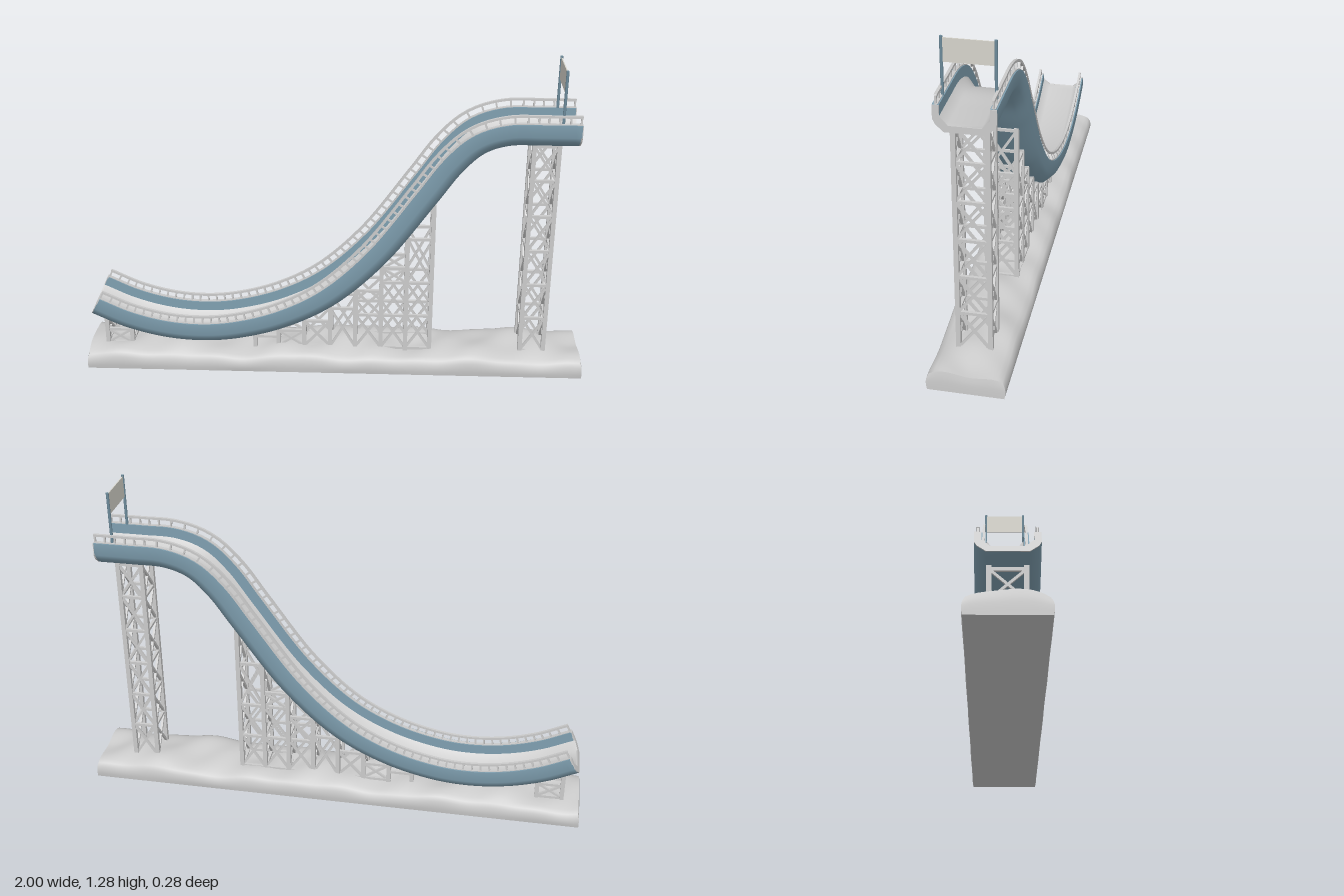
import * as THREE from 'three';
import { mergeGeometries, mergeVertices, toCreasedNormals } from 'three/addons/utils/BufferGeometryUtils.js';

const grey = new THREE.MeshStandardMaterial({ color: 0xcccccc });
const blue = new THREE.MeshStandardMaterial({ color: 0x7f9fb0 });
const steel = new THREE.MeshStandardMaterial({ color: 0x6d8b9b });
const cloth = new THREE.MeshStandardMaterial({ color: 0xd6d4cb, side: THREE.DoubleSide });
const V = (x, y, z = 0) => new THREE.Vector3(x, y, z);

// Underside line of the chute, from the run-out to the start platform
const path = new THREE.CatmullRomCurve3([
  [-0.98, 0.217], [-0.85, 0.157], [-0.7, 0.115], [-0.55, 0.1], [-0.4, 0.112], [-0.2, 0.168],
  [0, 0.276], [0.2, 0.465], [0.4, 0.74], [0.49, 0.868], [0.57, 0.945], [0.66, 0.977], [0.78, 0.98], [0.92, 0.98],
].map(([x, y]) => V(x, y)), false, 'centripetal');

// Position and upward normal at fraction u of the path
function frame(u) {
  const p = path.getPointAt(u), t = path.getTangentAt(u);
  return { p, t, n: V(-t.y, t.x) };
}
const STEPS = 110;
const frames = Array.from({ length: STEPS + 1 }, (_, i) => frame(i / STEPS));
const place = (f, z, h) => f.p.clone().addScaledVector(f.n, h).setZ(z);

// Height of the chute's underside above the ground at x
function undersideAt(x) {
  for (let i = 0; i < STEPS; i++) {
    const a = frames[i].p, b = frames[i + 1].p;
    if (x <= b.x) return THREE.MathUtils.mapLinear(x, a.x, b.x, a.y, b.y);
  }
  return frames[STEPS].p.y;
}

// Sweep a (z, height) profile along the path
function sweep(profile, crease = 0.5) {
  const pos = [], index = [], m = profile.length;
  for (const f of frames) for (const [z, h] of profile) pos.push(...place(f, z, h).toArray());
  for (let i = 0; i < STEPS; i++) for (let j = 0; j < m - 1; j++) {
    const a = i * m + j, b = a + m;
    index.push(a, b, a + 1, b, b + 1, a + 1);
  }
  const g = new THREE.BufferGeometry();
  g.setAttribute('position', new THREE.Float32BufferAttribute(pos, 3));
  g.setIndex(index);
  return toCreasedNormals(g, crease);
}

// Square beam between two points
function beam(a, b, w) {
  const d = b.clone().sub(a), g = new THREE.BoxGeometry(w, d.length(), w);
  g.applyQuaternion(new THREE.Quaternion().setFromUnitVectors(V(0, 1), d.clone().normalize()));
  const c = a.clone().add(b).multiplyScalar(0.5);
  return g.translate(c.x, c.y, c.z);
}

function add(group, name, geometry, material) {
  const mesh = new THREE.Mesh(geometry, material);
  mesh.name = name;
  group.add(mesh);
  return mesh;
}

// Storey heights of a trestle that ends at height top
function storeys(top) {
  const list = [];
  for (let y = 0.08; y < top - 0.05; y += 0.15) list.push(y);
  return [...list, top];
}

// Trestle of paired posts at each x, braced across and along
function trestle(xs, topAt) {
  const Z = 0.058, parts = [];
  const brace = (xa, za, xb, zb, levels) => levels.forEach((y, i) => {
    parts.push(beam(V(xa, y, za), V(xb, y, zb), 0.011));
    if (i === 0) return;
    const y0 = levels[i - 1];
    parts.push(beam(V(xa, y0, za), V(xb, y, zb), 0.009), beam(V(xa, y, za), V(xb, y0, zb), 0.009));
  });
  xs.forEach((x, i) => {
    const top = topAt(x);
    for (const z of [-Z, Z]) {
      parts.push(beam(V(x, 0.04, z), V(x, top + 0.004, z), 0.017));
      if (i > 0) brace(xs[i - 1], z, x, z, storeys(Math.min(top, topAt(xs[i - 1])) - 0.008));
    }
    brace(x, -Z, x, Z, storeys(top - 0.008));
  });
  return mergeGeometries(parts);
}

// Snowy ground slab with an uneven top and wavy rim
function groundGeometry() {
  let g = new THREE.BoxGeometry(2, 1, 0.28, 90, 4, 14);
  g.deleteAttribute('normal');
  g.deleteAttribute('uv');
  g = mergeVertices(g);
  const p = g.attributes.position;
  for (let i = 0; i < p.count; i++) {
    const x = p.getX(i), z = p.getZ(i), v = p.getY(i) + 0.5;
    const r = Math.abs(z) / 0.14;
    const bumps = 0.009 * Math.sin(9.5 * x + 1.5 + 9 * z) + 0.007 * Math.sin(17 * x - 14 * z) + 0.004 * Math.sin(31 * x + 25 * z);
    const top = 0.064 + 0.022 * (1 - r ** 4) + bumps * (1 - 0.35 * r);
    const bulge = 0.96 + 0.03 * Math.sin(Math.PI * v) + 0.012 * Math.sin(13 * x) * v - 0.05 * v ** 4;
    p.setXYZ(i, x * (1 - 0.006 * v ** 4), v * top, z * bulge * 1.02);
  }
  return toCreasedNormals(g, 0.9);
}

export function createModel() {
  const model = new THREE.Group();
  model.name = 'skiJump';
  add(model, 'snowyGround', groundGeometry(), grey);

  // Chute: blue shell and walls, pale running surface
  const chute = new THREE.Group();
  chute.name = 'chute';
  model.add(chute);
  const outer = [[-0.105, 0.094], [-0.105, 0.045], [-0.096, 0.026], [-0.068, 0], [0.068, 0], [0.096, 0.026], [0.105, 0.045], [0.105, 0.094]];
  const inner = [[0.082, 0.055], [0.055, 0.024], [-0.055, 0.024], [-0.082, 0.055]];
  add(chute, 'outerShell', sweep(outer, 0.85), blue);
  add(chute, 'leftWall', sweep([[0.105, 0.094], [0.082, 0.094], [0.082, 0.055]]), blue);
  add(chute, 'rightWall', sweep([[-0.082, 0.055], [-0.082, 0.094], [-0.105, 0.094]]), blue);
  add(chute, 'runningSurface', sweep(inner, 0.9), grey);

  // Plates closing both ends of the chute
  const section = new THREE.Shape([...outer, [0.082, 0.094], ...inner, [-0.082, 0.094]].map(([z, h]) => new THREE.Vector2(z, h)));
  for (const [name, f] of [['lowerEndPlate', frames[0]], ['upperEndPlate', frames[STEPS]]]) {
    const plate = new THREE.ExtrudeGeometry(section, { depth: 0.006, bevelEnabled: false }).translate(0, 0, -0.003);
    const basis = new THREE.Matrix4().makeBasis(V(0, 0, 1), f.n, f.t.clone().negate()).setPosition(f.p);
    add(chute, name, plate.applyMatrix4(basis), grey);
  }

  // Guard rails with closely spaced posts on both walls
  const POSTS = 58;
  for (const [name, z] of [['leftGuardRail', 0.093], ['rightGuardRail', -0.093]]) {
    const rail = (h, w, t) => sweep([[z - w, h], [z + w, h], [z + w, h + t], [z - w, h + t], [z - w, h]]);
    const group = new THREE.Group();
    group.name = name;
    model.add(group);
    add(group, 'topRail', rail(0.12, 0.005, 0.009), grey);
    add(group, 'bottomRail', rail(0.091, 0.007, 0.006), grey);
    const posts = [];
    for (let i = 0; i <= POSTS; i++) {
      const f = frame(0.002 + 0.996 * i / POSTS);
      posts.push(beam(place(f, z, 0.09), place(f, z, 0.124), 0.007));
    }
    add(group, 'railPosts', mergeGeometries(posts), grey);
  }

  // Supports
  add(model, 'startTower', trestle([0.754, 0.848], () => 0.98), grey);
  add(model, 'slopeTrestle', trestle([-0.32, -0.225, -0.12, -0.015, 0.087, 0.19, 0.29, 0.388], undersideAt), grey);
  add(model, 'runOutTrestle', trestle([-0.925, -0.825], undersideAt), grey);

  // Start banner on two poles
  const banner = new THREE.Group();
  banner.name = 'startBanner';
  model.add(banner);
  for (const z of [-0.088, 0.088]) {
    const pole = add(banner, 'bannerPole', new THREE.CylinderGeometry(0.0055, 0.0055, 0.23, 10), steel);
    pole.position.set(0.85, 1.165, z);
  }
  add(banner, 'bannerPanel', new THREE.BoxGeometry(0.004, 0.083, 0.168), cloth).position.set(0.85, 1.233, 0);
  return model;
}
